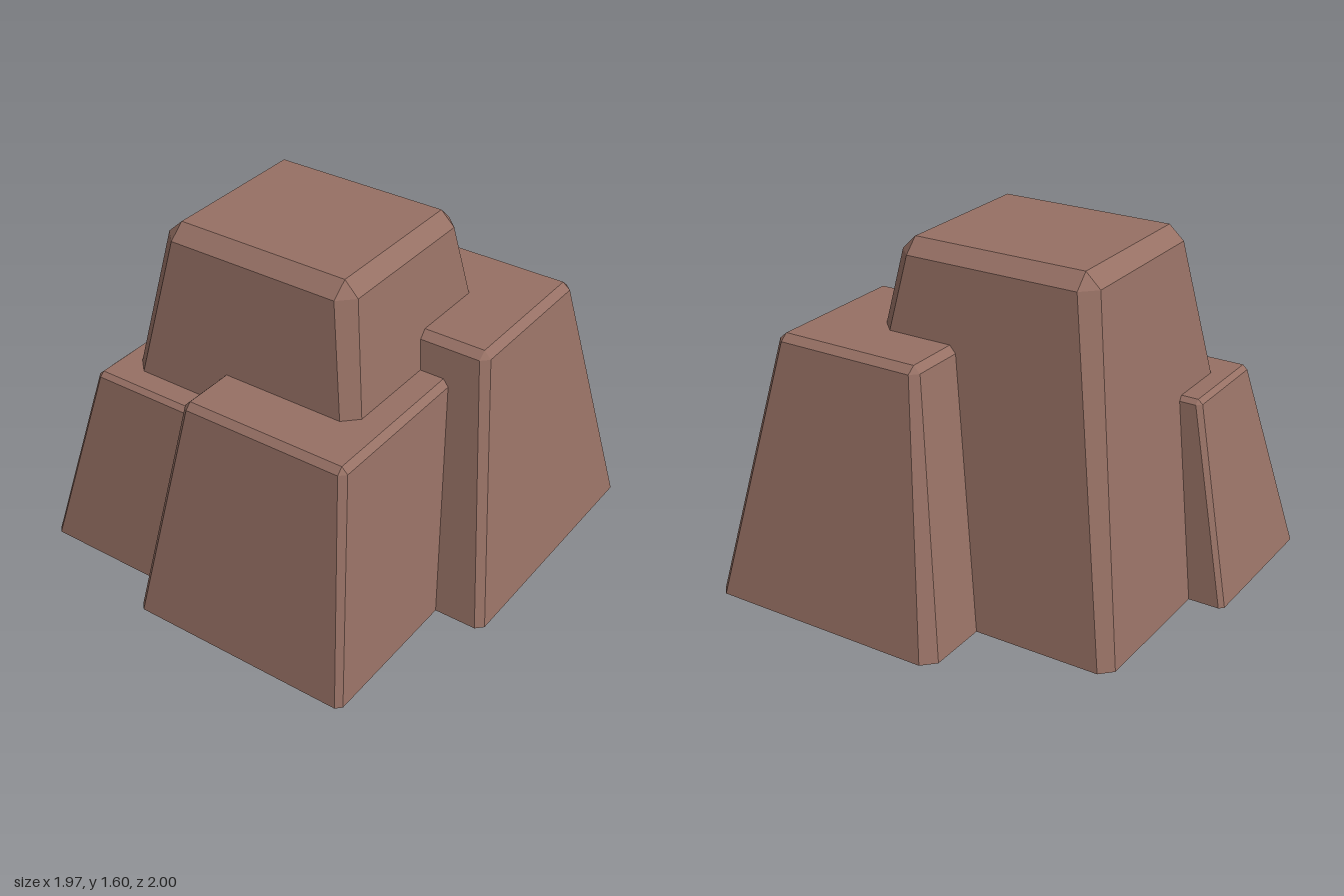
import * as THREE from 'three';

// Eight-point outline of a rectangle [x0, x1, z0, z1] with cut corners,
// counter-clockwise from above, starting at the -x +z corner.
function outline([x0, x1, z0, z1], y, cuts) {
  const [a, b, c, d] = cuts;
  return [
    [x0, z1 - a], [x0 + a, z1],
    [x1 - b, z1], [x1, z1 - b],
    [x1, z0 + c], [x1 - c, z0],
    [x0 + d, z0], [x0, z0 + d],
  ].map(([x, z]) => new THREE.Vector3(x, y, z));
}

// Tapered block with chamfered upright corners and a chamfered top rim.
function blockGeometry({ base, rim, rimY, top, topY, baseCuts, rimCuts }) {
  const rings = [
    outline(base, 0, baseCuts),
    outline(rim, rimY, rimCuts),
    outline(top, topY, [0, 0, 0, 0]),
  ];
  const positions = [];
  const tri = (a, b, c) => {
    const area = b.clone().sub(a).cross(c.clone().sub(a)).length();
    if (area > 1e-8) for (const p of [a, b, c]) positions.push(p.x, p.y, p.z);
  };
  // Sloping sides and rim
  for (let r = 0; r < 2; r++) {
    for (let i = 0; i < 8; i++) {
      const j = (i + 1) % 8;
      tri(rings[r][i], rings[r][j], rings[r + 1][j]);
      tri(rings[r][i], rings[r + 1][j], rings[r + 1][i]);
    }
  }
  // Flat top and underside
  for (let i = 1; i < 7; i++) {
    tri(rings[2][0], rings[2][i], rings[2][i + 1]);
    tri(rings[0][0], rings[0][i + 1], rings[0][i]);
  }
  const geometry = new THREE.BufferGeometry();
  geometry.setAttribute('position', new THREE.Float32BufferAttribute(positions, 3));
  geometry.computeVertexNormals();
  return geometry;
}

const even = (c) => [c, c, c, c];

const blocks = {
  // Tall central rock
  mainRock: {
    base: [-0.82, 0.66, -0.66, 0.71], baseCuts: even(0.055),
    rim: [-0.56, 0.40, -0.40, 0.45], rimY: 1.53, rimCuts: even(0.068),
    top: [-0.49, 0.335, -0.33, 0.38], topY: 1.595,
  },
  // Second tallest rock, behind on the model's left
  backRock: {
    base: [-0.17, 0.98, -1.0, 0.265], baseCuts: [0.055, 0.032, 0.032, 0.058],
    rim: [0.05, 0.78, -0.745, 0.005], rimY: 1.17, rimCuts: even(0.034),
    top: [0.082, 0.745, -0.71, -0.035], topY: 1.2,
  },
  // Front rock
  frontRock: {
    base: [-0.325, 0.75, -0.2, 1.0], baseCuts: even(0.025),
    rim: [-0.185, 0.625, -0.05, 0.80], rimY: 1.012, rimCuts: even(0.028),
    top: [-0.157, 0.597, -0.02, 0.772], topY: 1.04,
  },
  // Low rock on the model's right
  sideRock: {
    base: [-0.985, 0.1, 0.06, 0.82], baseCuts: even(0.02),
    rim: [-0.77, -0.05, 0.185, 0.68], rimY: 0.88, rimCuts: even(0.022),
    top: [-0.748, -0.07, 0.207, 0.658], topY: 0.9,
  },
};

export function createModel() {
  const group = new THREE.Group();
  group.name = 'rockCluster';
  const stone = new THREE.MeshStandardMaterial({ color: 0x967064, flatShading: true });
  stone.name = 'brownStone';
  for (const [name, spec] of Object.entries(blocks)) {
    const mesh = new THREE.Mesh(blockGeometry(spec), stone);
    mesh.name = name;
    group.add(mesh);
  }
  return group;
}
